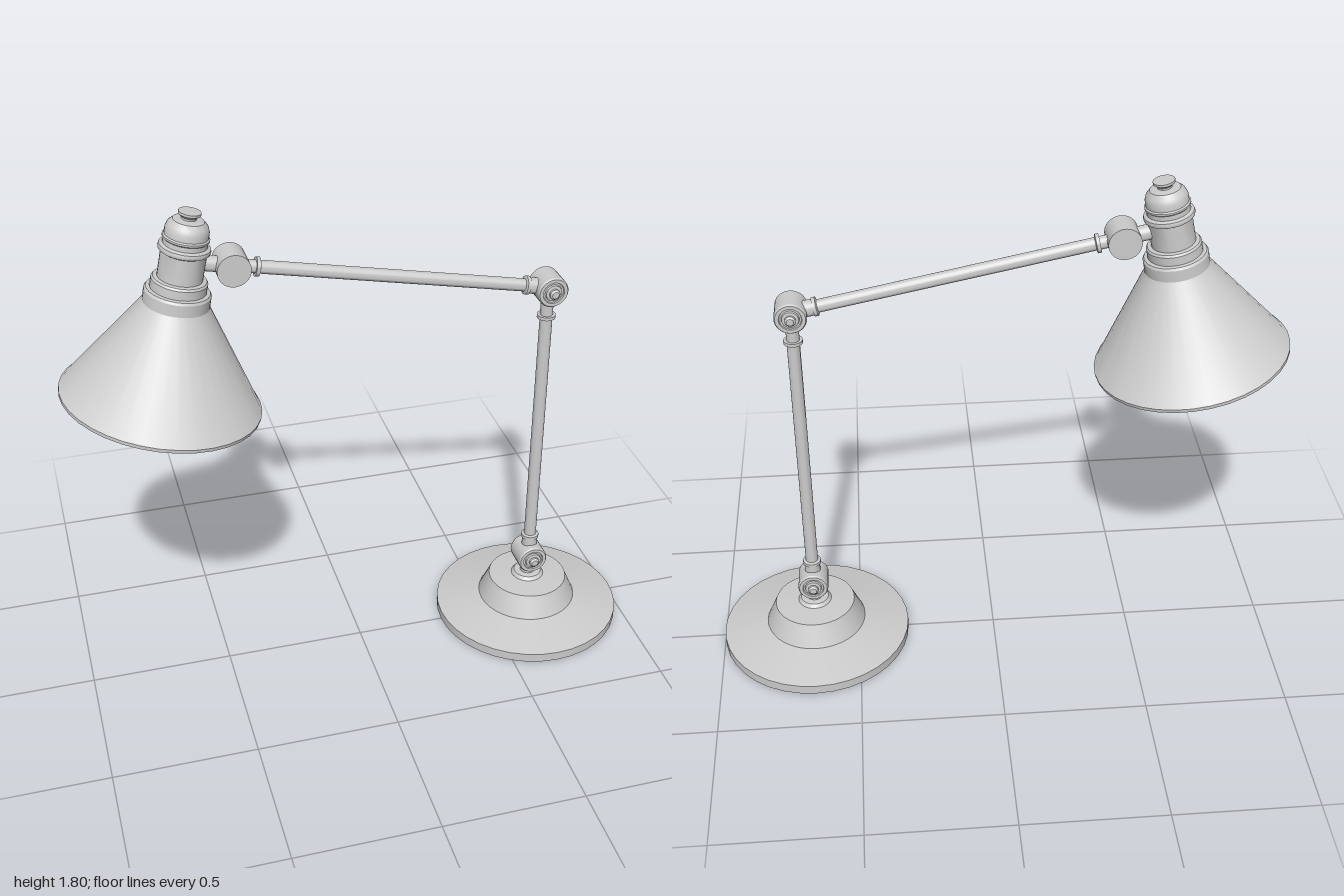
import * as THREE from 'three';
import { toCreasedNormals } from 'three/addons/utils/BufferGeometryUtils.js';

const material = new THREE.MeshStandardMaterial({ color: 0xcccccc });

// Solid of revolution around y from [radius, height] pairs, listed bottom to top on the outside
function turned(name, profile, segments = 32) {
  const points = profile.map(([r, y]) => new THREE.Vector2(r, y));
  const mesh = new THREE.Mesh(toCreasedNormals(new THREE.LatheGeometry(points, segments), 0.5), material);
  mesh.name = name;
  return mesh;
}

// Tube between two joint centres with a flange and neck at each end
function rod(name, from, to, flangeStart, flangeEnd, neckStart, neckEnd) {
  const dir = to.clone().sub(from);
  const len = dir.length();
  const a = flangeStart, b = len - flangeEnd;
  const mesh = turned(name, [
    [0, 0.02], [neckStart, 0.02], [neckStart, a - 0.006],
    [0.032, a - 0.006], [0.032, a + 0.006], [0.022, a + 0.009],
    [0.022, b - 0.009], [0.032, b - 0.006], [0.032, b + 0.006],
    [neckEnd, b + 0.006], [neckEnd, len - 0.02], [0, len - 0.02],
  ], 20);
  mesh.position.copy(from);
  mesh.quaternion.setFromUnitVectors(new THREE.Vector3(0, 1, 0), dir.normalize());
  return mesh;
}

// Pivot drum lying along z, with a recessed ring and a domed bolt on both faces
function pivot(name, centre) {
  const half = [
    [0.054, 0.046], [0.05, 0.052], [0.038, 0.052], [0.036, 0.047],
    [0.03, 0.047], [0.028, 0.054], [0.018, 0.056], [0.018, 0.064], [0.012, 0.07], [0, 0.071],
  ];
  const mirrored = half.map(([r, y]) => [r, -y]).reverse();
  const mesh = turned(name, [...mirrored, ...half], 28);
  mesh.rotation.x = Math.PI / 2;
  mesh.position.copy(centre);
  return mesh;
}

export function createModel() {
  const lamp = new THREE.Group();
  lamp.name = 'deskLamp';

  const lower = new THREE.Vector3(0.66, 0.245, 0);
  const elbow = new THREE.Vector3(0.66, 1.37, 0);
  const wrist = new THREE.Vector3(-0.42, 1.593, 0);

  // Weighted foot with raised centre and short stem
  const base = turned('base', [
    [0, 0], [0.34, 0], [0.34, 0.034], [0.18, 0.068], [0.144, 0.15],
    [0.06, 0.156], [0.05, 0.168], [0.028, 0.17], [0.028, 0.215], [0, 0.215],
  ], 36);
  base.position.x = 0.66;
  lamp.add(base);

  // Jointed arm
  lamp.add(pivot('lowerJoint', lower), pivot('elbowJoint', elbow));
  lamp.add(rod('uprightRod', lower, elbow, 0.087, 0.11, 0.028, 0.022));
  lamp.add(rod('upperArm', elbow, wrist, 0.082, 0.083, 0.028, 0.022));

  // Plain drum joining the arm to the lamp head
  const drum = turned('headJoint', [[0, -0.05], [0.055, -0.05], [0.055, 0.05], [0, 0.05]], 28);
  drum.rotation.x = Math.PI / 2;
  drum.position.copy(wrist);
  lamp.add(drum);

  // Tilted lamp head, its origin at the centre of the shade rim
  const head = new THREE.Group();
  head.name = 'lampHead';
  head.position.set(-0.675, 1.1375, 0);
  head.rotation.z = -0.205;
  lamp.add(head);

  // Hollow shade: inner wall down, rolled rim, outer wall up
  head.add(turned('shade', [
    [0, 0.35], [0.1, 0.35], [0.322, 0.012], [0.322, 0],
    [0.332, 0], [0.333, 0.012], [0.327, 0.016], [0.108, 0.355],
  ], 36));

  // Stepped collar, socket housing and dome
  head.add(turned('socketHousing', [
    [0.108, 0.352], [0.108, 0.395], [0.103, 0.403], [0.091, 0.405],
    [0.091, 0.435], [0.086, 0.442], [0.073, 0.444], [0.073, 0.532],
    [0.082, 0.537], [0.084, 0.545], [0.082, 0.553], [0.071, 0.558],
    [0.071, 0.574], [0.075, 0.578], [0.075, 0.584], [0.07, 0.588],
    [0.07, 0.608], [0.064, 0.624], [0.05, 0.638], [0.024, 0.642], [0, 0.642],
  ]));
  head.add(turned('switchKnob', [
    [0, 0.635], [0.024, 0.635], [0.024, 0.648], [0.036, 0.658], [0.036, 0.666], [0, 0.668],
  ], 20));

  // Bulb inside the shade
  const bulb = [];
  for (let i = 0; i <= 10; i++) {
    const t = (i / 10) * 2.4;
    bulb.push([0.075 * Math.sin(t), 0.18 - 0.075 * Math.cos(t)]);
  }
  head.add(turned('bulb', [...bulb, [0.038, 0.27], [0.038, 0.352]], 24));

  // Short bracket from the housing to the drum
  const bracket = turned('headBracket', [[0, 0], [0.026, 0], [0.026, 0.12], [0, 0.12]], 20);
  bracket.position.copy(wrist);
  bracket.rotation.z = Math.PI / 2 - 0.205;
  lamp.add(bracket);

  return lamp;
}
